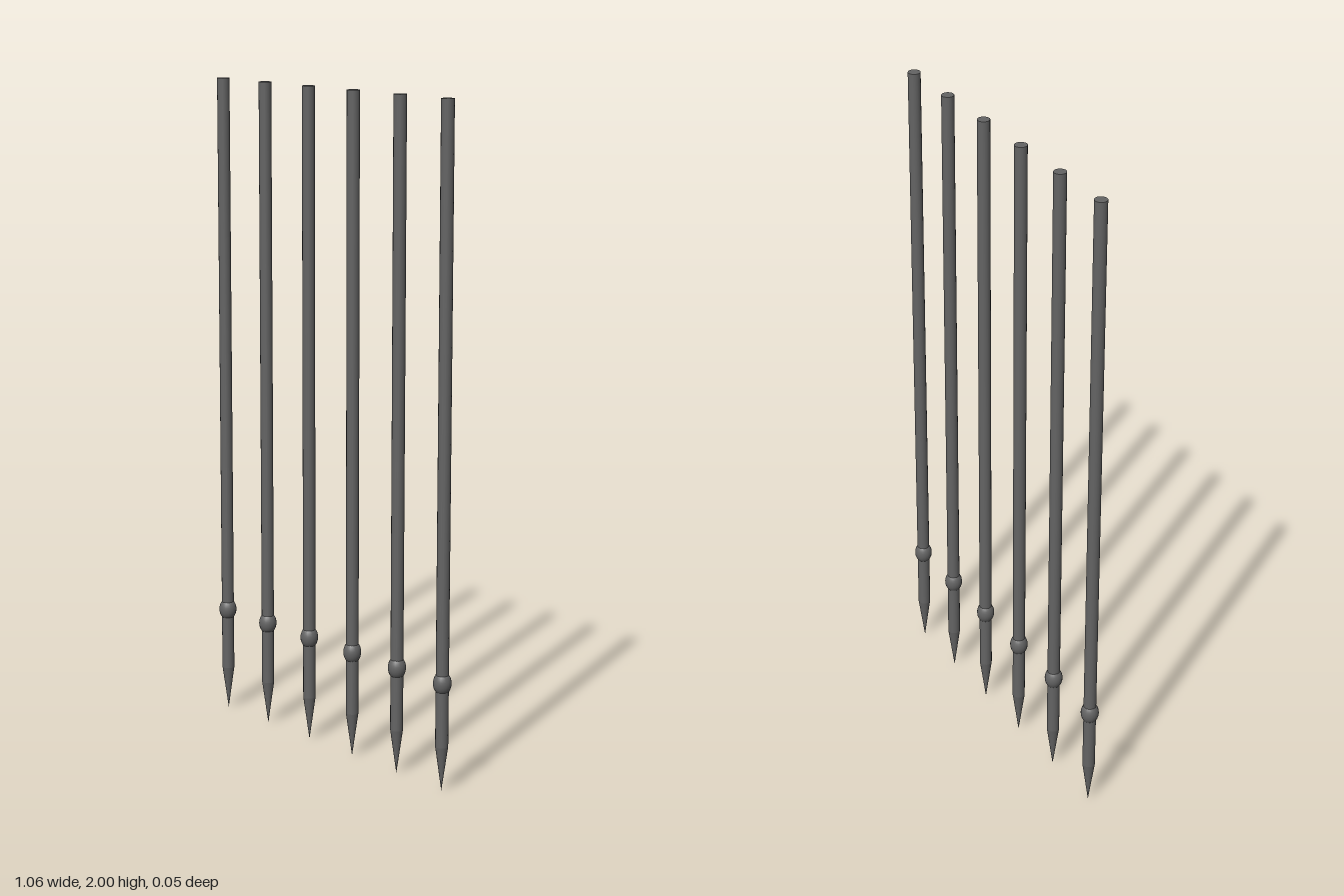
import * as THREE from 'three';

export function createModel() {
  const model = new THREE.Group();
  const iron = new THREE.MeshStandardMaterial({ color: 0x646464 });
  iron.name = 'dark iron';

  const R = 0.019, TIP = 0.135;
  const rodGeo = new THREE.CylinderGeometry(R, R, 2 - TIP, 16);
  rodGeo.translate(0, (2 + TIP) / 2, 0);
  // Spear point, apex down
  const tipGeo = new THREE.ConeGeometry(R, TIP, 16, 1, true);
  tipGeo.rotateX(Math.PI).translate(0, TIP / 2, 0);
  // Stretched bead around the rod
  const beadGeo = new THREE.SphereGeometry(0.027, 20, 14);
  beadGeo.scale(1, 1.3, 1).translate(0, 0.326, 0);

  const parts = { rod: rodGeo, spearTip: tipGeo, bead: beadGeo };

  // Row of six identical bars
  [-0.502, -0.3, -0.098, 0.103, 0.304, 0.5].forEach((x, i) => {
    const bar = new THREE.Group();
    bar.name = 'bar' + (i + 1);
    for (const [name, geo] of Object.entries(parts)) {
      const mesh = new THREE.Mesh(geo, iron);
      mesh.name = name;
      bar.add(mesh);
    }
    bar.position.x = x;
    model.add(bar);
  });
  return model;
}
